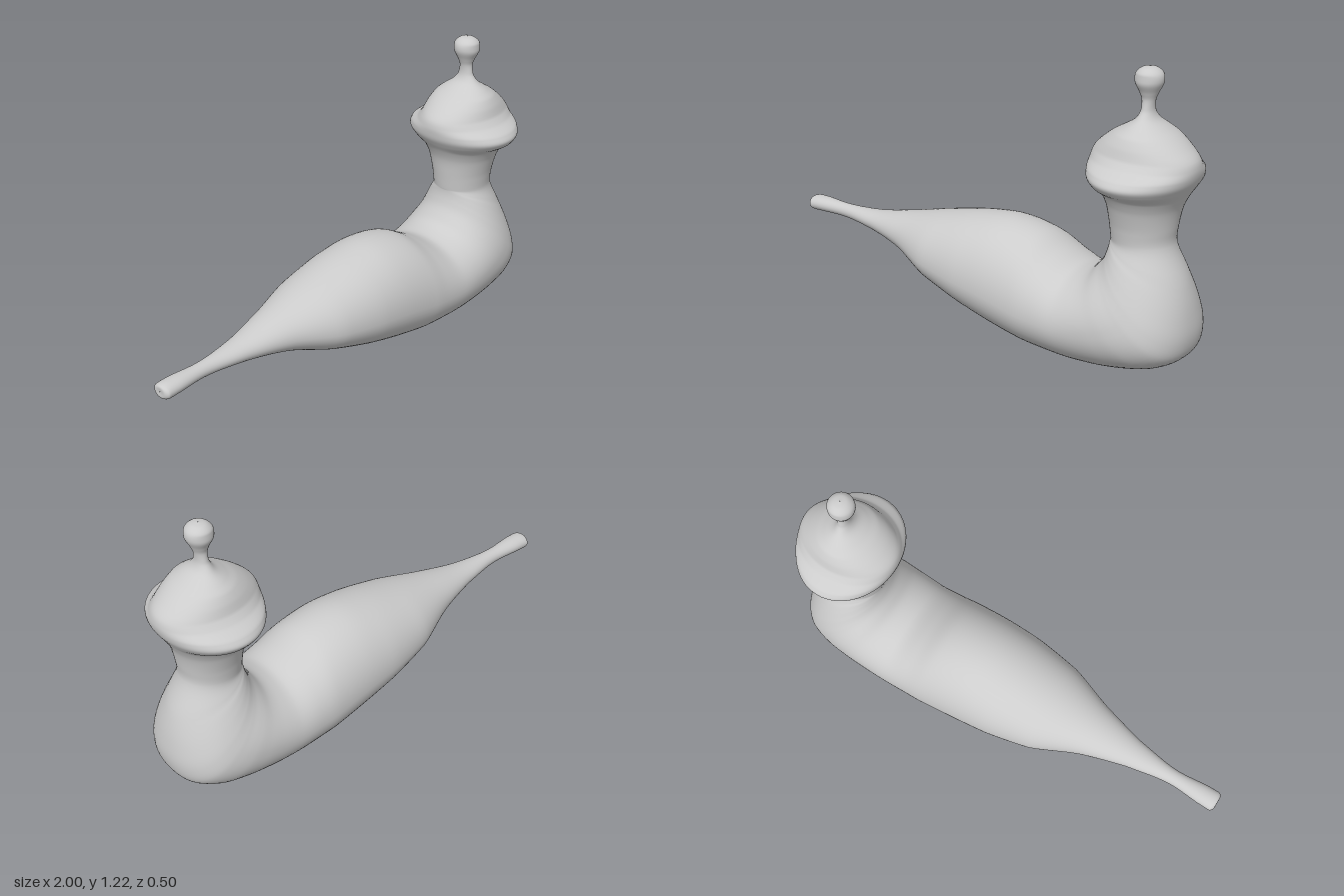
import * as THREE from 'three';

// Cross-sections from tail tip to topknot:
// [inner x, inner y, outer x, outer y, half width, height of widest point, roundness power]
const tail = [
  [-1, 0.292, -1, 0.288, 0.001, 0.5, 1],
  [-1, 0.312, -1, 0.266, 0.03, 0.5, 1],
  [-0.985, 0.32, -0.985, 0.257, 0.044, 0.5, 1],
  [-0.93, 0.324, -0.93, 0.258, 0.043, 0.5, 1],
  [-0.8, 0.322, -0.8, 0.262, 0.033, 0.5, 1],
  [-0.6, 0.338, -0.6, 0.247, 0.063, 0.5, 1],
];
const body = [
  [-0.4, 0.383, -0.4, 0.21, 0.12, 0.46, 1],
  [-0.2, 0.435, -0.2, 0.138, 0.2, 0.42, 1],
  [0, 0.48, 0, 0.075, 0.235, 0.42, 1],
  [0.15, 0.496, 0.15, 0.037, 0.245, 0.42, 1],
  [0.3, 0.472, 0.3, 0.011, 0.25, 0.42, 1],
  [0.4, 0.42, 0.42, 0.004, 0.25, 0.45, 1],
  [0.49, 0.383, 0.55, 0.004, 0.25, 0.48, 1],
];
// Sections fanning round the bend under the waist
const bend = [
  [0.54, 0.39, 0.68, 0.018, 0.25, 0.5, 0.95],
  [0.58, 0.41, 0.8, 0.043, 0.248, 0.5, 0.9],
  [0.61, 0.445, 0.91, 0.08, 0.24, 0.48, 0.85],
  [0.628, 0.475, 0.98, 0.13, 0.225, 0.46, 0.85],
  [0.638, 0.505, 1, 0.2, 0.205, 0.46, 0.88],
  [0.643, 0.53, 0.99, 0.3, 0.178, 0.48, 0.93],
  [0.644, 0.55, 0.958, 0.415, 0.146, 0.5, 1],
];
// Level sections of torso and head: [y, left x, right x, half width]
const upper = [
  [0.555, 0.643, 0.897, 0.122], [0.62, 0.635, 0.9, 0.129], [0.7, 0.622, 0.915, 0.15],
  [0.75, 0.6, 0.938, 0.176], [0.785, 0.576, 0.958, 0.23], [0.815, 0.558, 0.975, 0.248],
  [0.843, 0.551, 0.983, 0.233], [0.87, 0.549, 0.984, 0.188], [0.9, 0.557, 0.975, 0.162],
  [0.94, 0.595, 0.935, 0.148], [0.975, 0.642, 0.89, 0.128], [1, 0.685, 0.85, 0.098],
  [1.03, 0.727, 0.808, 0.058], [1.06, 0.742, 0.793, 0.035], [1.1, 0.742, 0.794, 0.028],
  [1.13, 0.731, 0.805, 0.037], [1.17, 0.713, 0.823, 0.055], [1.2, 0.716, 0.82, 0.053],
  [1.22, 0.737, 0.799, 0.033], [1.227, 0.767, 0.769, 0.001],
].map(([y, l, r, w]) => [l, y, r, y, w, 0.5, 1]);

// Smooth loft through the sections, ring by ring
function loft(keys, rings, sides) {
  const curve = f => new THREE.CatmullRomCurve3(keys.map(k => new THREE.Vector3(...f(k))));
  const inner = curve(k => [k[0], k[1], 0]);
  const outer = curve(k => [k[2], k[3], 0]);
  const form = curve(k => [k[4], k[5], k[6]]);
  const pos = [], index = [];
  for (let i = 0; i <= rings; i++) {
    const a = inner.getPoint(i / rings), b = outer.getPoint(i / rings), f = form.getPoint(i / rings);
    for (let j = 0; j < sides; j++) {
      const t = j / sides * Math.PI * 2, c = Math.cos(t), s = Math.sin(t);
      const rise = Math.sign(c) * Math.pow(Math.abs(c), c < 0 ? f.z : 1);
      const side = Math.sign(s) * Math.pow(Math.abs(s), c < 0 ? f.z : 1);
      const h = f.y + rise * (c < 0 ? f.y : 1 - f.y);
      pos.push(b.x + (a.x - b.x) * h, b.y + (a.y - b.y) * h, side * Math.max(f.x, 0.0005));
      if (i < rings) {
        const p = i * sides + j, q = i * sides + (j + 1) % sides;
        index.push(p, q, p + sides, q, q + sides, p + sides);
      }
    }
  }
  const geometry = new THREE.BufferGeometry();
  geometry.setAttribute('position', new THREE.Float32BufferAttribute(pos, 3));
  geometry.setIndex(index);
  geometry.computeVertexNormals();
  return geometry;
}

export function createModel() {
  const group = new THREE.Group();
  group.name = 'figure';
  const clay = new THREE.MeshStandardMaterial({ color: 0xcccccc });
  clay.name = 'light grey';
  const keys = [...tail, ...body, ...bend, ...upper];
  const skin = new THREE.Mesh(loft(keys, (keys.length - 1) * 6, 64), clay);
  skin.name = 'tailBodyAndHead';
  group.add(skin);
  return group;
}
